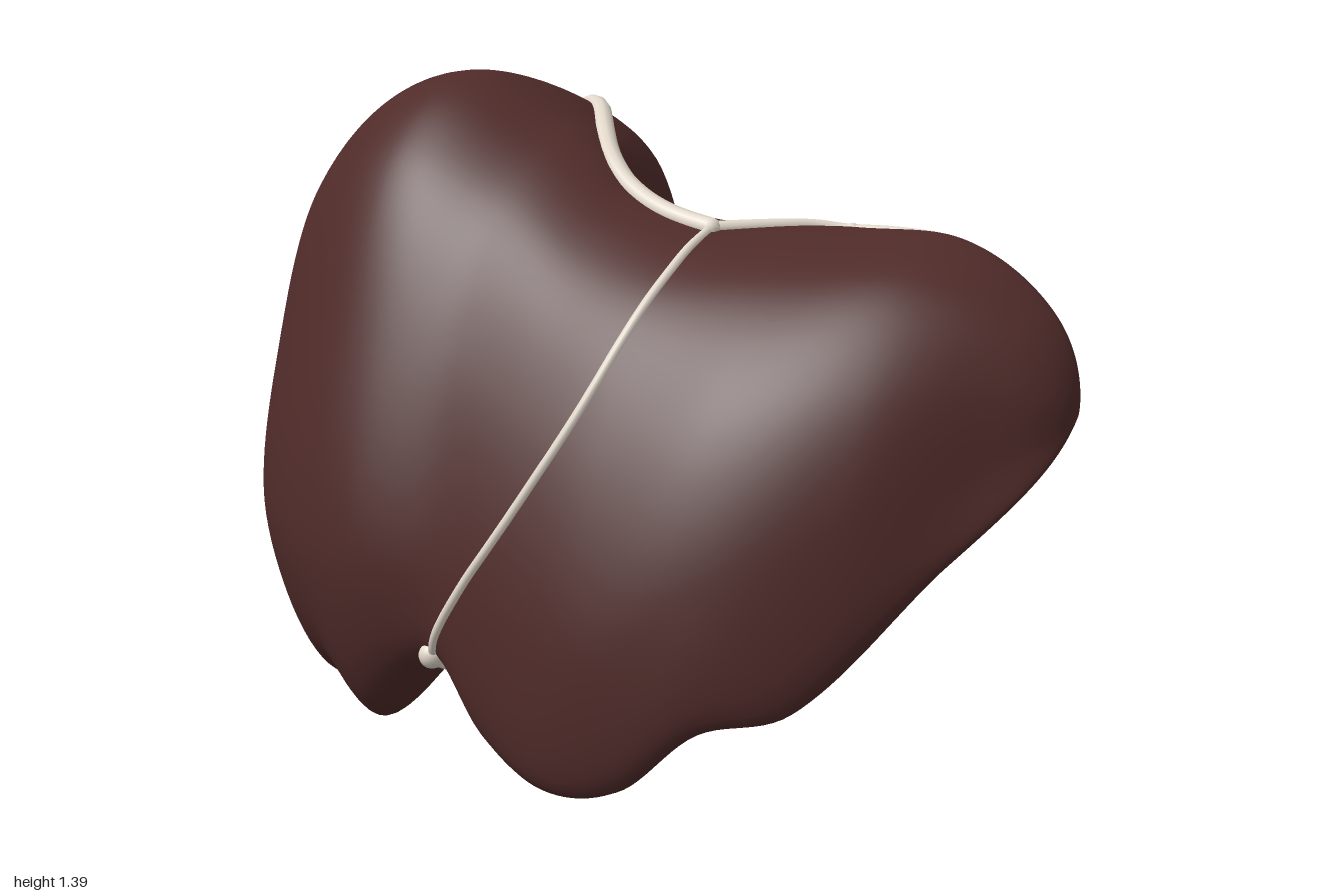
import * as THREE from 'three';

const AROUND = 120, ALONG = 160;
const RIGHT_TIP = [-1, -0.1, 0.56], LEFT_TIP = [1, 0.08, 0.78];
const angleAt = (x) => Math.acos(-x);

// Smooth guide line from tip to tip through [x, z, y] points; returns the point at angle u,
// where x = -cos(u) makes both tips round off
function rail(points) {
  const p = [RIGHT_TIP, ...points, LEFT_TIP], u = p.map(([x]) => angleAt(x)), last = p.length - 1;
  const slope = (k, c) => {
    const a = Math.max(k - 1, 0), b = Math.min(k + 1, last);
    return (p[b][c] - p[a][c]) / (u[b] - u[a]);
  };
  return (angle) => {
    let k = 0;
    while (k < last - 1 && angle > u[k + 1]) k++;
    const h = u[k + 1] - u[k], t = (angle - u[k]) / h, s = 1 - t;
    const value = (c) => p[k][c] * s * s * (1 + 2 * t) + p[k + 1][c] * t * t * (1 + 2 * s)
      + h * t * s * (slope(k, c) * s - slope(k + 1, c) * t);
    return new THREE.Vector3(-Math.cos(angle), value(2), value(1));
  };
}

// Upper ridge, fullest line of the front, lobed lower edge, hollow underside, fullest line of the back
const topRail = rail([[-.92, -.08, 1.0], [-.8, -.02, 1.22], [-.5, .02, 1.375], [-.2, .01, 1.27],
  [0, .09, 1.15], [.2, .1, 1.1], [.45, .02, 1.1], [.7, 0, 1.095], [.92, .04, .97]]);
const frontRail = rail([[-.9, .24, .42], [-.8, .36, .4], [-.6, .515, .37], [-.42, .58, .35], [-.2, .59, .37],
  [.2, .665, .3], [.45, .62, .47], [.7, .48, .59], [.9, .27, .69]]);
const lowerRail = rail([[-.93, .06, .17], [-.8, .14, .025], [-.6, .35, .09], [-.45, .42, .03], [-.21, .54, .22],
  [-.08, .56, .08], [.1, .61, .01], [.28, .62, .04], [.45, .61, .18], [.62, .53, .23], [.85, .35, .51]]);
const hollowRail = rail([[-.9, -.14, .13], [-.8, -.2, .015], [-.6, -.12, .11], [-.3, .05, .28],
  [.1, .2, .4], [.45, .25, .52], [.7, .2, .6], [.9, .12, .71]]);
const backRail = rail([[-.92, -.43, .58], [-.75, -.62, .65], [-.5, -.67, .68], [-.3, -.58, .7], [-.17, -.33, .7],
  [-.1, -.09, .72], [.07, -.155, .7], [.2, -.085, .9], [.42, -.09, .97], [.7, -.04, .97], [.92, .01, .88]]);

// Closed cross-section: rounded corners between the rails, with a flatter underside
// and a tighter top edge towards the left lobe
function section(angle) {
  const [top, front, lower, hollow, back] = [topRail, frontRail, lowerRail, hollowRail, backRail].map((r) => r(angle));
  const corner = (high, side, outward, upward) => new THREE.Vector3(high.x,
    THREE.MathUtils.lerp(side.y, high.y, upward), THREE.MathUtils.lerp(high.z, side.z, outward));
  const under = 0.68 - 0.1 * top.x, rear = 0.77 + 0.1 * top.x;
  const low = corner(hollow, back, under, under);
  return new THREE.CatmullRomCurve3([top, corner(top, front, .47, .87), corner(top, front, .81, .52), front, lower,
    hollow, low, back, corner(top, back, rear, rear)], true);
}

// Smooth skin over the cross-sections
function bodyGeometry() {
  const positions = [], index = [];
  for (let i = 0; i <= ALONG; i++) {
    const ring = section(Math.PI * i / ALONG);
    for (let j = 0; j < AROUND; j++) positions.push(...ring.getPoint(j / AROUND).toArray());
  }
  for (let i = 0; i < ALONG; i++) {
    for (let j = 0; j < AROUND; j++) {
      const k = (j + 1) % AROUND, near = i * AROUND, far = near + AROUND;
      if (i > 0) index.push(near + j, near + k, far + j);
      if (i < ALONG - 1) index.push(near + k, far + k, far + j);
    }
  }
  const geometry = new THREE.BufferGeometry();
  geometry.setAttribute('position', new THREE.Float32BufferAttribute(positions, 3));
  geometry.setIndex(index);
  geometry.computeBoundingBox();
  geometry.translate(0, -geometry.boundingBox.min.y, 0);
  geometry.computeVertexNormals();
  return geometry;
}

// Drops a point onto the skin: the tangent plane at the nearest vertex
function snap(point, geometry) {
  const { position, normal } = geometry.attributes, v = new THREE.Vector3();
  let nearest = Infinity, found = 0;
  for (let i = 0; i < position.count; i++) {
    const d = v.fromBufferAttribute(position, i).distanceToSquared(point);
    if (d < nearest) { nearest = d; found = i; }
  }
  const n = new THREE.Vector3().fromBufferAttribute(normal, found);
  const height = v.fromBufferAttribute(position, found).sub(point).dot(n);
  return point.clone().addScaledVector(n, height);
}

export function createModel() {
  const model = new THREE.Group();
  const tissue = new THREE.MeshStandardMaterial({ color: 0x4f2b29 });
  const pale = new THREE.MeshStandardMaterial({ color: 0xe2d8cb });

  const skin = bodyGeometry();
  const body = new THREE.Mesh(skin, tissue);
  body.name = 'liverBody';
  model.add(body);

  // Cord lying on the skin, with rounded ends
  function cord(name, radius, points, closed = false) {
    const group = new THREE.Group();
    group.name = name;
    const guide = new THREE.CatmullRomCurve3(points.map((p) => new THREE.Vector3(...p)), closed);
    const n = points.length * 2;
    const path = [];
    for (let i = 0; i < (closed ? n : n + 1); i++) path.push(snap(guide.getPoint(i / n), skin));
    const curve = new THREE.CatmullRomCurve3(path, closed);
    group.add(new THREE.Mesh(new THREE.TubeGeometry(curve, n * 6, radius, 10, closed), pale));
    if (!closed) {
      for (const end of [path[0], path[path.length - 1]]) {
        const cap = new THREE.Mesh(new THREE.SphereGeometry(radius, 12, 8), pale);
        cap.position.copy(end);
        group.add(cap);
      }
    }
    model.add(group);
  }

  // Seam down the front between the lobes
  cord('falciformLigament', 0.01, [[.2, 1.11, .14], [.21, 1.03, .35], [.17, .87, .48], [.11, .73, .55],
    [0, .55, .6], [-.1, .41, .6], [-.18, .3, .6], [-.22, .22, .56]]);
  // Band over the top and down the back of the right lobe
  cord('coronaryLigament', 0.022, [[.2, 1.11, .14], [.08, 1.14, .13], [-.05, 1.2, .08], [-.15, 1.24, 0],
    [-.3, 1.28, -.2], [-.5, 1.21, -.38], [-.68, 1.06, -.52], [-.79, .96, -.56], [-.87, .8, -.53],
    [-.9, .62, -.48], [-.87, .46, -.5], [-.79, .36, -.56]]);
  // Band along the rear underside
  cord('lowerRearLigament', 0.015, [[.1, .43, .12], [0, .4, .02], [-.14, .33, -.2], [-.2, .31, -.28], [-.27, .36, -.38],
    [-.5, .35, -.5], [-.79, .36, -.56]]);
  // Ridge on top of the left lobe and its short rear branch
  cord('leftTriangularLigament', 0.015, [[.2, 1.11, .14], [.3, 1.1, .04], [.4, 1.1, -.06], [.5, 1.1, -.06], [.62, 1.1, -.06]]);
  cord('leftRearBranch', 0.016, [[.42, 1.1, -.06], [.37, 1.08, -.08], [.32, 1.06, -.09]]);
  // Cleft line behind the left lobe and under to the front edge
  cord('rearCleftLigament', 0.021, [[.34, 1.06, -.09], [.33, .95, -.09], [.31, .8, -.05], [.26, .65, .02],
    [.18, .5, .11], [.09, .42, .16]]);
  cord('roundLigament', 0.016, [[.09, .42, .16], [0, .34, .24], [-.08, .27, .36], [-.16, .24, .48], [-.22, .22, .55]]);
  // Loop framing the hollow of the underside
  cord('gallbladderRim', 0.016, [[.03, .4, .18], [-.12, .32, .18], [-.28, .26, .13], [-.4, .24, .06],
    [-.41, .28, -.01], [-.28, .33, -.02], [-.1, .38, .07]], true);
  // Swelling where the front seam meets the lower edge
  const knob = new THREE.Mesh(new THREE.SphereGeometry(0.028, 20, 14), pale);
  knob.name = 'ligamentEnd';
  knob.position.copy(snap(new THREE.Vector3(-.22, .22, .57), skin));
  model.add(knob);

  return model;
}
